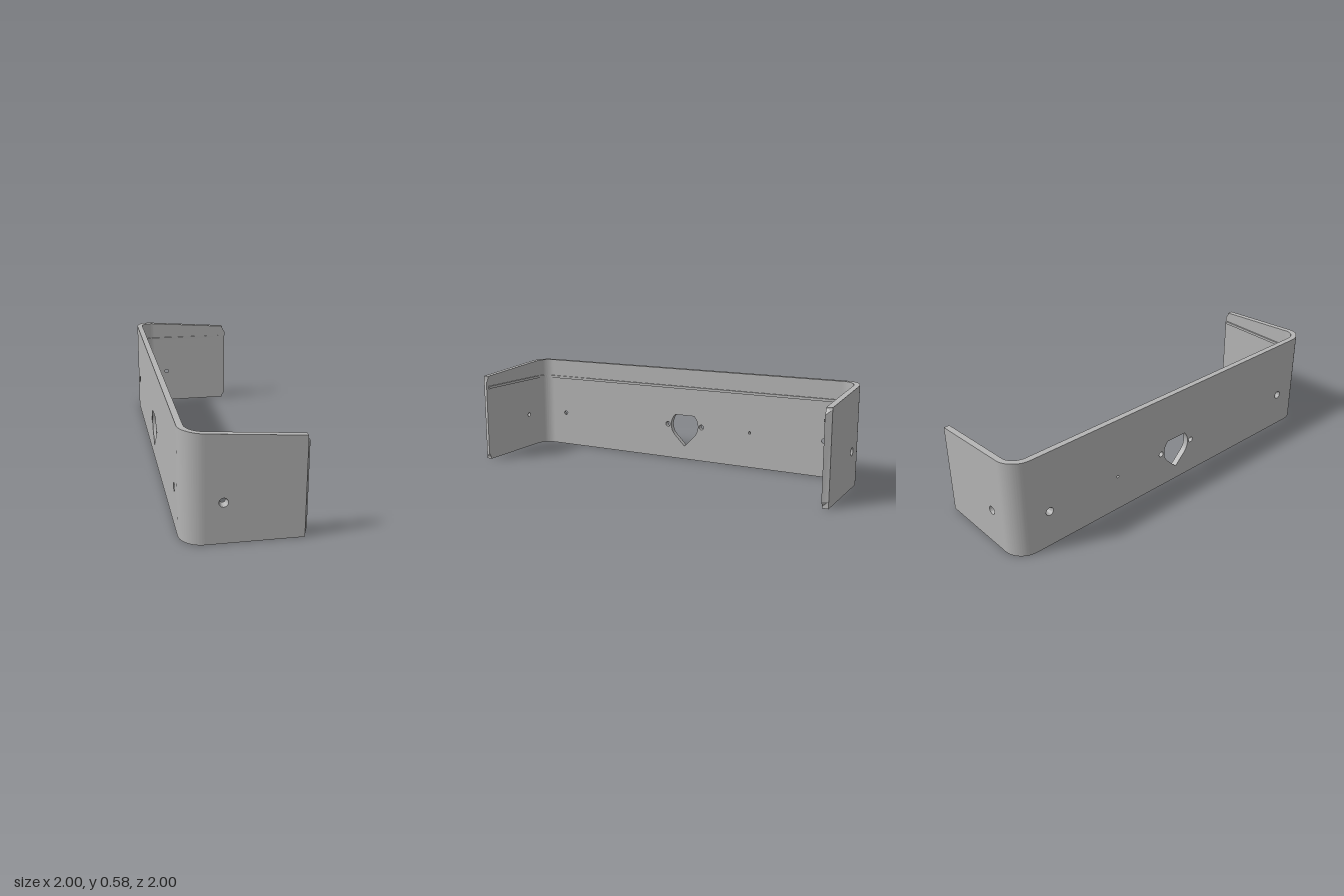
import * as THREE from 'three';
import { toCreasedNormals } from 'three/addons/utils/BufferGeometryUtils.js';

const T = 0.034;            // sheet thickness
const H = 0.585;            // height of the back plate
const U = 1.138, V = -0.346; // outer faces of the arms and the back plate
const R = 0.12;             // outer bend radius
const CU = U - R, CV = V + R; // bend centre
const HOLE_Y = 0.22;
const TIP = 0.294, TIP_OUTER = 0.276;

// top edge falls gently along the arms
const topAt = v => H - 0.045 * Math.max(0, v + 0.31) / 0.586;

function roundHole(x, r) {
  return new THREE.Path().absarc(x, HOLE_Y, r, 0, Math.PI * 2, true);
}

// extrude a sheet and widen its countersunk holes on the outer face
function sheet(shape, sinks, outerDepth, maxOuterX = Infinity) {
  const geo = new THREE.ExtrudeGeometry(shape, { depth: T, bevelEnabled: false, curveSegments: 12 });
  const p = geo.attributes.position;
  for (let i = 0; i < p.count; i++) {
    if (Math.abs(p.getZ(i) - outerDepth) > 1e-4) continue;
    const x = p.getX(i), y = p.getY(i);
    for (const s of sinks) {
      const dx = x - s, dy = y - HOLE_Y;
      if (Math.hypot(dx, dy) < 0.015) p.setXY(i, s + dx * 1.85, HOLE_Y + dy * 1.85);
    }
    if (x > maxOuterX) p.setX(i, maxOuterX);
  }
  return geo;
}

function backPlate() {
  const shape = new THREE.Shape();
  shape.moveTo(-CU, 0).lineTo(CU, 0).lineTo(CU, H).lineTo(-CU, H).closePath();
  // central opening: a circle drawn out to a point above and below
  const r = 0.0955, q = Math.PI / 4;
  const opening = new THREE.Path();
  opening.moveTo(0, HOLE_Y + r * Math.SQRT2);
  opening.absarc(0, HOLE_Y, r, 3 * q, 5 * q, false);
  opening.lineTo(0, HOLE_Y - r * Math.SQRT2);
  opening.absarc(0, HOLE_Y, r, -q, q, false);
  opening.closePath();
  shape.holes.push(opening);
  for (const [x, rad] of [[-0.12, 0.016], [0.12, 0.016], [0.45, 0.008], [-0.92, 0.013], [0.92, 0.013]]) {
    shape.holes.push(roundHole(x, rad));
  }
  return sheet(shape, [-0.92, 0.92], 0).translate(0, 0, V);
}

function arm(side) {
  const shape = new THREE.Shape();
  shape.moveTo(CV, 0).lineTo(TIP_OUTER, 0).lineTo(TIP_OUTER, 0.012).lineTo(TIP, 0.04);
  shape.lineTo(TIP, 0.5).lineTo(TIP_OUTER, 0.53).lineTo(TIP_OUTER, topAt(TIP_OUTER)).lineTo(CV, topAt(CV));
  shape.closePath();
  shape.holes.push(roundHole(-0.135, 0.013));
  const geo = sheet(shape, [-0.135], side > 0 ? 0 : T, TIP_OUTER);
  return geo.rotateY(-Math.PI / 2).translate(side > 0 ? U : -U + T, 0, 0);
}

// plan shapes are drawn with y pointing to the back
function raise(shape, bottom, height) {
  return new THREE.ExtrudeGeometry(shape, { depth: height, bevelEnabled: false, curveSegments: 16 })
    .rotateX(-Math.PI / 2).translate(0, bottom, 0);
}

function bend(side) {
  const a = side > 0 ? 0 : Math.PI / 2, b = a + Math.PI / 2;
  const shape = new THREE.Shape();
  shape.absarc(side * CU, -CV, R, a, b, false);
  shape.absarc(side * CU, -CV, R - T, b, a, true);
  shape.closePath();
  const geo = raise(shape, 0, H);
  const p = geo.attributes.position;
  for (let i = 0; i < p.count; i++) if (p.getY(i) > 0.5) p.setY(i, topAt(p.getZ(i)));
  return geo;
}

// narrow rib running round the whole inside
function rib() {
  const out = R - T, inn = out - 0.01, q = Math.PI / 2;
  const shape = new THREE.Shape();
  shape.moveTo(CU + out, -TIP_OUTER);
  shape.absarc(CU, -CV, out, 0, q, false);
  shape.absarc(-CU, -CV, out, q, 2 * q, false);
  shape.lineTo(-CU - out, -TIP_OUTER).lineTo(-CU - inn, -TIP_OUTER);
  shape.absarc(-CU, -CV, inn, 2 * q, q, true);
  shape.absarc(CU, -CV, inn, q, 0, true);
  shape.lineTo(CU + inn, -TIP_OUTER).closePath();
  return raise(shape, 0.46, 0.016);
}

export function createModel() {
  const metal = new THREE.MeshStandardMaterial({ color: 0xb4b4b4 });
  metal.name = 'grey metal';
  const bracket = new THREE.Group();
  bracket.name = 'bracket';
  const add = (name, geo) => {
    const mesh = new THREE.Mesh(toCreasedNormals(geo, 0.5), metal);
    mesh.name = name;
    bracket.add(mesh);
  };
  add('backPlate', backPlate());
  for (const [side, label] of [[1, 'left'], [-1, 'right']]) {
    add(label + 'Bend', bend(side));
    add(label + 'Arm', arm(side));
  }
  add('innerRib', rib());
  bracket.rotation.y = Math.PI / 4; // stands diagonally
  const model = new THREE.Group();
  model.name = 'model';
  model.add(bracket);
  return model;
}
